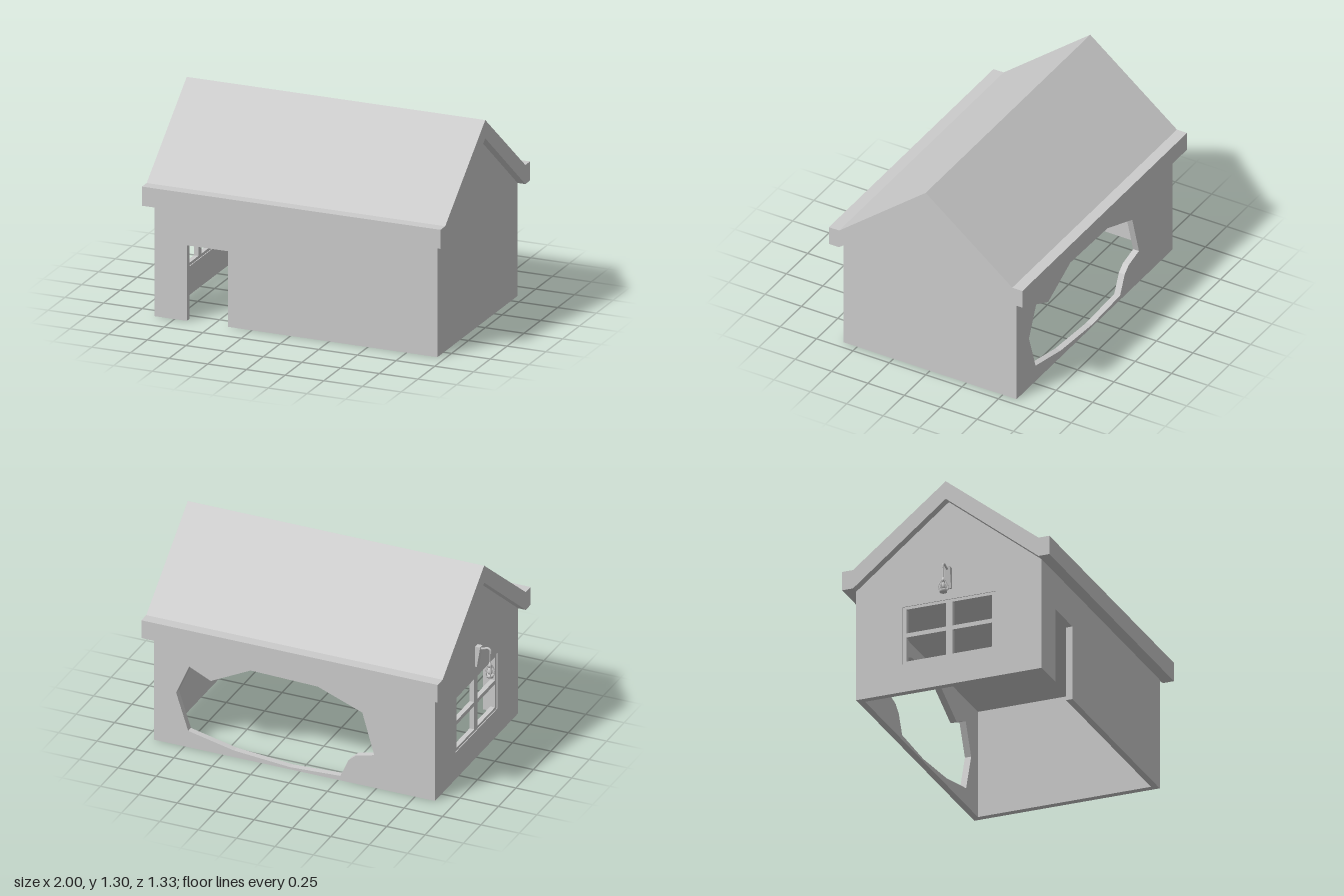
import * as THREE from 'three';

const grey = new THREE.MeshStandardMaterial({ color: 0xcccccc, side: THREE.DoubleSide });
const X0 = -0.88, X1 = 0.95, Z = 0.595, EAVE = 0.71, PEAK = 1.19, T = 0.04;

function add(parent, name, geometry, x = 0, y = 0, z = 0) {
  const mesh = new THREE.Mesh(geometry, grey);
  mesh.name = name;
  mesh.position.set(x, y, z);
  parent.add(mesh);
  return mesh;
}

const polygon = (points, Type = THREE.Shape) => new Type(points.map(p => new THREE.Vector2(...p)));
const slab = (shape, depth) => new THREE.ExtrudeGeometry(shape, { depth, bevelEnabled: false });
// Extrudes a (z, y) outline along x
const slabX = (shape, depth) => slab(shape, depth).rotateY(Math.PI / 2);
const tube = (points, r, n = 16) => new THREE.TubeGeometry(
  new THREE.CatmullRomCurve3(points.map(p => new THREE.Vector3(...p))), n, r, 6);

function buildWalls(house) {
  const a = X0 + T, b = X1 - T;

  // Front wall with door notch
  add(house, 'frontWall', slab(polygon([
    [a, 0], [-0.67, 0], [-0.67, 0.475], [-0.405, 0.475], [-0.405, 0], [b, 0], [b, EAVE], [a, EAVE],
  ]), T), 0, 0, Z - T);

  // Back wall with a jagged breach
  const back = polygon([[a, 0], [b, 0], [b, EAVE], [a, EAVE]]);
  back.holes.push(polygon([
    [-0.485, 0.22], [-0.407, 0.49], [-0.116, 0.6], [0.32, 0.61], [0.58, 0.48], [0.72, 0.545], [0.805, 0.35],
    [0.727, 0.11], [0.43, 0.045], [0.064, 0.015], [-0.264, 0.03], [-0.318, 0.15], [-0.365, 0.19],
  ], THREE.Path));
  add(house, 'backWall', slab(back, T), 0, 0, -Z);

  // Gable walls, one with a window opening
  const gable = () => polygon([[-Z, 0], [Z, 0], [Z, EAVE], [0, PEAK], [-Z, EAVE]]);
  add(house, 'leftGableWall', slabX(gable(), T), X1 - T);
  const windowed = gable();
  windowed.holes.push(polygon([[-0.3, 0.18], [-0.3, 0.555], [0.3, 0.555], [0.3, 0.18]], THREE.Path));
  add(house, 'rightGableWall', slabX(windowed, T), X0);

  add(house, 'ceiling', new THREE.BoxGeometry(b - a, 0.02, 2 * (Z - T)), (a + b) / 2, EAVE - 0.012, 0);
}

function buildWindow(house) {
  // Frame with four panes
  const frame = polygon([[-0.3, 0.18], [0.3, 0.18], [0.3, 0.555], [-0.3, 0.555]]);
  for (const [z0, z1] of [[-0.275, -0.022], [0.022, 0.275]])
    for (const [y0, y1] of [[0.198, 0.355], [0.382, 0.537]])
      frame.holes.push(polygon([[z0, y0], [z0, y1], [z1, y1], [z1, y0]], THREE.Path));
  add(house, 'windowFrame', slabX(frame, 0.03), X0 + 0.005);
}

function buildRoof(house) {
  // Gabled shell with boxed eaves
  add(house, 'roof', slabX(polygon([
    [-0.665, EAVE], [-Z, EAVE], [0, PEAK], [Z, EAVE], [0.665, EAVE],
    [0.665, 0.83], [Z, 0.83], [0, 1.305], [-Z, 0.83], [-0.665, 0.83],
  ]), 1.93), -0.93);
}

function buildLantern(house) {
  const lantern = new THREE.Group();
  lantern.name = 'lantern';
  house.add(lantern);
  const x = -0.968;

  // Tapered wall bracket and hooked arm
  add(lantern, 'wallBracket', slab(polygon([
    [X0 + 0.005, 0.62], [-0.89, 0.62], [-0.912, 0.755], [X0 + 0.005, 0.755],
  ]), 0.036), 0, 0, -0.018);
  add(lantern, 'arm', tube([[-0.9, 0.74, 0], [-0.93, 0.745, 0], [-0.952, 0.753, 0],
    [-0.969, 0.745, 0], [-0.972, 0.722, 0]], 0.007));
  add(lantern, 'hanger', new THREE.CylinderGeometry(0.004, 0.004, 0.09, 6), x, 0.685, 0);

  // Cap, base, bulb and curved cage ribs
  const profile = pts => new THREE.LatheGeometry(pts.map(p => new THREE.Vector2(...p)), 10);
  add(lantern, 'cap', profile([[0, 0.662], [0.006, 0.66], [0.009, 0.645], [0.018, 0.632], [0, 0.632]]), x);
  add(lantern, 'base', profile([[0, 0.562], [0.022, 0.562], [0.022, 0.57], [0.026, 0.575], [0.02, 0.581], [0, 0.581]]), x);
  add(lantern, 'bulb', profile([[0, 0.58], [0.013, 0.585], [0.016, 0.6], [0.011, 0.62], [0, 0.634]]), x);
  for (let i = 0; i < 6; i++) {
    const rib = add(lantern, 'cageRib', tube([[0.012, 0.638, 0], [0.025, 0.615, 0], [0.029, 0.595, 0], [0.022, 0.576, 0]], 0.003, 8), x);
    rib.rotation.y = i * Math.PI / 3;
  }
}

export function createModel() {
  const house = new THREE.Group();
  house.name = 'house';
  buildWalls(house);
  buildWindow(house);
  buildRoof(house);
  buildLantern(house);
  return house;
}
